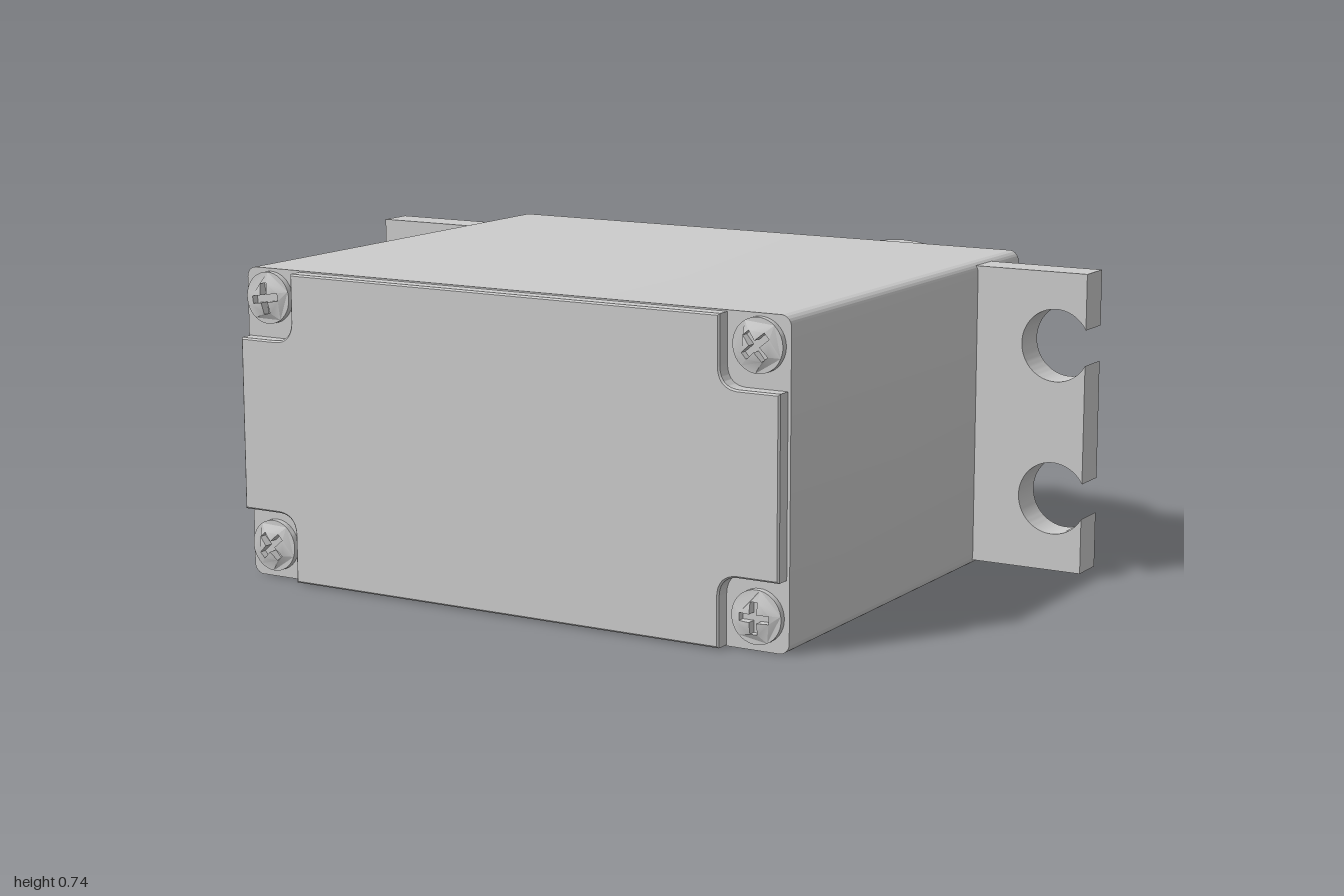
import * as THREE from 'three';
import { toCreasedNormals } from 'three/addons/utils/BufferGeometryUtils.js';

const MID = 0.3725; // height of the output axis and of the symmetry plane
const AXIS_X = 0.355;

export function createModel() {
  const root = new THREE.Group();
  const mat = new THREE.MeshStandardMaterial({ color: 0xcccccc });

  const add = (name, geo, parent = root) => {
    const mesh = new THREE.Mesh(geo, mat);
    mesh.name = name;
    parent.add(mesh);
    return mesh;
  };

  // Shape pushed from z0 to z1, with an optional chamfer inside those limits
  const slab = (shape, z0, z1, chamfer = 0) => {
    const geo = new THREE.ExtrudeGeometry(shape, {
      depth: z1 - z0 - 2 * chamfer, curveSegments: 32,
      bevelEnabled: chamfer > 0, bevelThickness: chamfer,
      bevelSize: chamfer, bevelOffset: -chamfer, bevelSegments: 1,
    });
    geo.translate(0, 0, z0 + chamfer);
    return toCreasedNormals(geo, 0.5);
  };

  const roundRect = (x0, x1, y0, y1, r) => {
    const s = new THREE.Shape();
    s.absarc(x1 - r, y0 + r, r, -Math.PI / 2, 0);
    s.absarc(x1 - r, y1 - r, r, 0, Math.PI / 2);
    s.absarc(x0 + r, y1 - r, r, Math.PI / 2, Math.PI);
    s.absarc(x0 + r, y0 + r, r, Math.PI, Math.PI * 1.5);
    s.closePath();
    return s;
  };

  const disc = (x, y, r) => new THREE.Shape().absarc(x, y, r, 0, Math.PI * 2);

  // Case
  add('case', slab(roundRect(-0.723, 0.723, 0, 0.738, 0.025), -0.435, 0.727));
  add('caseRearLip', slab(roundRect(-0.712, 0.712, 0.012, 0.728, 0.02), -0.45, -0.435));

  // Front cover: a plate with a rounded pocket cut from each corner
  const px = 0.57, py0 = 0.165, py1 = 0.575, ex = 0.717, r = 0.05;
  const cover = new THREE.Shape();
  cover.moveTo(-px, 0.003);
  cover.lineTo(px, 0.003);
  cover.lineTo(px, py0 - r);
  cover.quadraticCurveTo(px, py0, px + r, py0);
  cover.lineTo(ex, py0);
  cover.lineTo(ex, py1);
  cover.lineTo(px + r, py1);
  cover.quadraticCurveTo(px, py1, px, py1 + r);
  cover.lineTo(px, 0.735);
  cover.lineTo(-px, 0.735);
  cover.lineTo(-px, py1 + r);
  cover.quadraticCurveTo(-px, py1, -px - r, py1);
  cover.lineTo(-ex, py1);
  cover.lineTo(-ex, py0);
  cover.lineTo(-px - r, py0);
  cover.quadraticCurveTo(-px, py0, -px, py0 - r);
  cover.closePath();
  add('frontCover', slab(cover, 0.725, 0.766, 0.004));

  // Screws: domed heads with a cross-shaped recess
  const headR = 0.061, arm = 0.036, w = 0.009;
  const cross = new THREE.Path();
  [[arm, -w], [arm, w], [w, w], [w, arm], [-w, arm], [-w, w], [-arm, w], [-arm, -w],
    [-w, -w], [-w, -arm], [w, -arm], [w, -w]].forEach(([x, y], i) =>
    i ? cross.lineTo(x, y) : cross.moveTo(x, y));
  cross.closePath();
  const headShape = disc(0, 0, headR);
  headShape.holes.push(cross);
  const headGeo = new THREE.ExtrudeGeometry(headShape, { depth: 0.034, bevelEnabled: false, curveSegments: 20 });
  const hp = headGeo.attributes.position;
  for (let i = 0; i < hp.count; i++) {
    if (hp.getZ(i) > 0.01) hp.setZ(i, 0.034 - 4.5 * (hp.getX(i) ** 2 + hp.getY(i) ** 2));
  }
  const screwHead = toCreasedNormals(headGeo, 0.5);
  const recessFloor = new THREE.CircleGeometry(0.045, 20).translate(0, 0, 0.01);
  [[-0.653, 0.67, 0.15], [0.65, 0.67, 0.7], [-0.653, 0.078, 0.75], [0.65, 0.078, 0]].forEach(([x, y, turn]) => {
    const screw = new THREE.Group();
    screw.name = 'screw';
    add('screwHead', screwHead, screw);
    add('screwRecess', recessFloor, screw);
    screw.position.set(x, y, 0.725);
    screw.rotation.z = turn;
    root.add(screw);
  });

  // Mounting ears with open-sided holes; the right ear is the left one turned over
  const holeX = 0.925, holeR = 0.086;
  const a = Math.acos((1 - holeX) / holeR);
  const ear = new THREE.Shape();
  ear.moveTo(0.7, -0.357);
  ear.lineTo(1, -0.357);
  for (const y of [-0.183, 0.183]) ear.absarc(holeX, y, holeR, -a, a - Math.PI * 2, true)
    .absarc(holeX, y, holeR, a - Math.PI * 2, a - Math.PI * 2, true);
  ear.lineTo(1, 0.357);
  ear.lineTo(0.7, 0.357);
  ear.closePath();
  const earGeo = slab(ear, -0.29, -0.202);
  const ribGeo = slab(roundRect(0.7, 0.875, -0.018, 0.018, 0.015), -0.313, -0.285);
  for (const [side, turn] of [['left', 0], ['right', Math.PI]]) {
    const group = new THREE.Group();
    group.name = side + 'MountingEar';
    add('earPlate', earGeo, group);
    add('earRib', ribGeo, group);
    group.position.y = MID;
    group.rotation.z = turn;
    root.add(group);
  }

  // Gear housing on the back: block, round end and small end bulge
  add('gearHousing', slab(roundRect(-0.57, AXIS_X, 0.04, 0.705, 0.006), -0.546, -0.44));
  add('gearHousingRound', slab(disc(AXIS_X, MID, 0.355), -0.546, -0.44));
  add('gearHousingBulge', slab(disc(-0.365, MID, 0.26), -0.544, -0.44));

  // Slightly raised panel with a half-round tab
  const panel = new THREE.Shape();
  panel.moveTo(-0.57, 0.04);
  panel.lineTo(0, 0.04);
  panel.lineTo(0, MID - 0.05);
  panel.absarc(0, MID, 0.05, -Math.PI / 2, Math.PI / 2);
  panel.lineTo(0, 0.705);
  panel.lineTo(-0.57, 0.705);
  panel.closePath();
  add('housingPanel', slab(panel, -0.55, -0.54));

  // Output boss and bearing ring
  add('outputBoss', slab(disc(AXIS_X, MID, 0.238), -0.622, -0.54));
  add('bearingRing', slab(disc(AXIS_X, MID, 0.183), -0.634, -0.615));

  // Splined output shaft
  const teeth = 25;
  const spline = new THREE.Shape();
  for (let i = 0; i < teeth * 4; i++) {
    const t = (i / (teeth * 4)) * Math.PI * 2;
    const rad = i % 4 < 2 ? 0.105 : 0.094;
    const x = AXIS_X + rad * Math.cos(t), y = MID + rad * Math.sin(t);
    if (i) spline.lineTo(x, y); else spline.moveTo(x, y);
  }
  spline.closePath();
  add('outputShaft', slab(spline, -0.768, -0.64, 0.006));
  add('shaftNeck', slab(disc(AXIS_X, MID, 0.092), -0.66, -0.625));

  return root;
}
